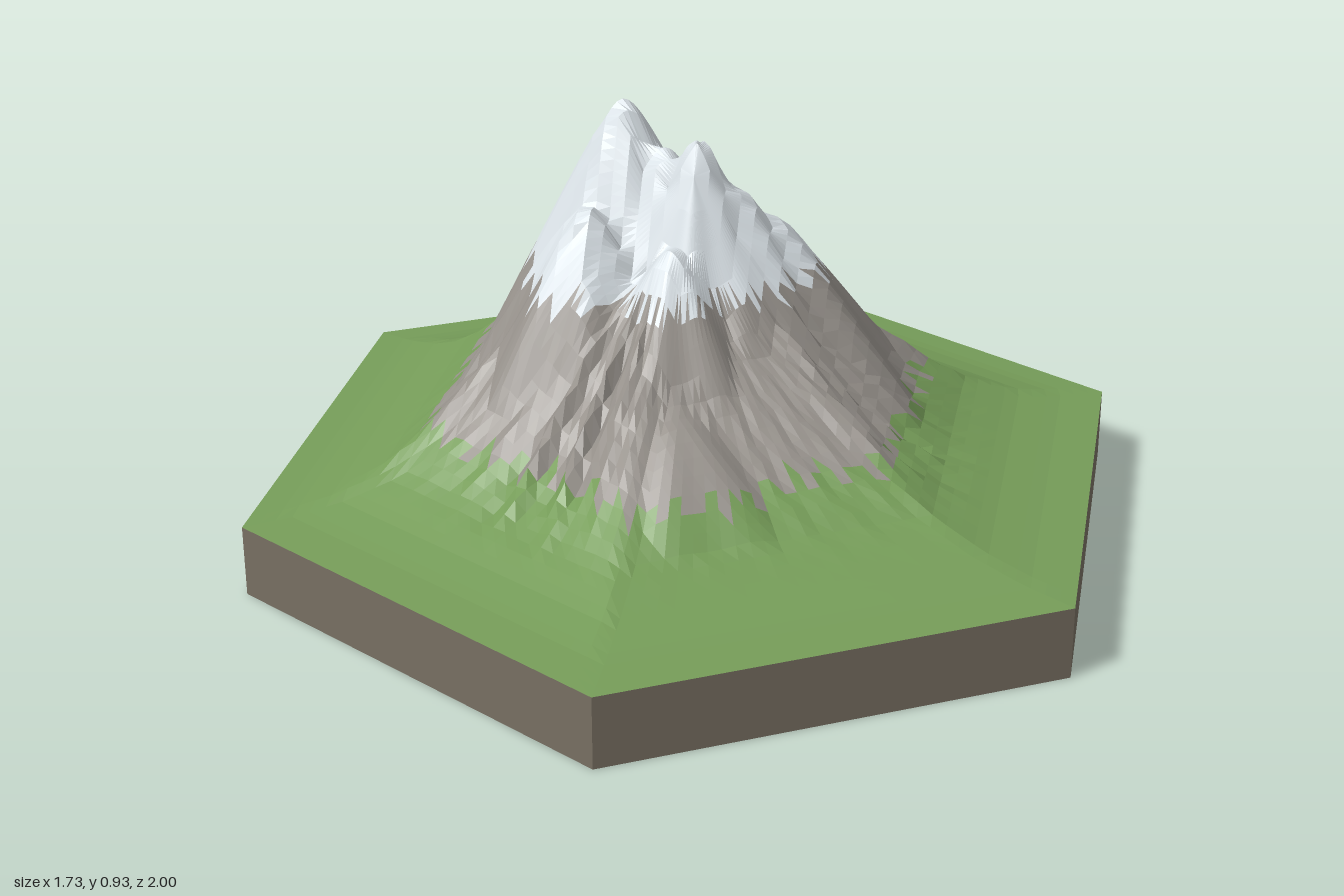
import * as THREE from 'three';

const RINGS = 28, PER_SIDE = 20, SEGS = PER_SIDE * 6, BASE = 0.16;

// Overall slope of the mountain: [hexagonal distance, height]
const PROFILE = [[0, 0.66], [0.15, 0.64], [0.3, 0.55], [0.36, 0.485], [0.42, 0.43], [0.5, 0.36],
  [0.59, 0.285], [0.69, 0.222], [0.8, 0.184], [0.9, 0.166], [1, BASE], [2, BASE]];

// Peaks and shoulders: x, z, height, steepness, roundness
const PEAKS = [
  [-0.18, -0.14, 0.932, 2.15, 0.035],
  [0, -0.05, 0.89, 2.4, 0.025],
  [-0.08, -0.09, 0.845, 2.2, 0.04],
  [0.08, -0.07, 0.775, 1.8, 0.03],
  [0.15, -0.12, 0.695, 1.4, 0.03],
  [-0.23, 0.02, 0.75, 1.75, 0.03],
  [-0.03, 0.08, 0.685, 1.6, 0.03],
  [0.05, -0.36, 0.57, 1.3, 0.06],
  [-0.23, -0.31, 0.555, 1.2, 0.08],
  [0.02, 0.3, 0.405, 0.9, 0.08],
];

// Gullies cut outwards from the summit: angle, width, depth
const GULLIES = [[2.1, 0.25, 0.05], [0.1, 0.25, 0.035], [-0.95, 0.2, 0.06], [3.0, 0.15, 0.02]];

const hexDistance = (x, z) => Math.max(Math.abs(x), Math.abs(x * 0.5 + z * 0.866), Math.abs(x * 0.5 - z * 0.866)) / 0.866;

function profileHeight(d) {
  const i = PROFILE.findIndex(p => p[0] > d);
  const [d0, h0] = PROFILE[i - 1], [d1, h1] = PROFILE[i];
  return h0 + (h1 - h0) * (d - d0) / (d1 - d0);
}

function terrainHeight(x, z) {
  const t = hexDistance(x, z);
  if (t > 0.999) return BASE;
  const k = 1 - t;
  let h = profileHeight(hexDistance(x + 0.1 * k, z + 0.15 * k));
  const angle = Math.atan2(z, x);
  const band = THREE.MathUtils.smoothstep(t, 0.12, 0.35) * (1 - THREE.MathUtils.smoothstep(t, 0.45, 0.75));
  // Fine crags, strongest inside the gullies
  const crag = Math.sin(angle * 31 + t * 17) * 0.6 + Math.sin(angle * 53 - t * 29) * 0.4;
  h += band * crag * 0.004;
  for (const [px, pz, top, steep, round] of PEAKS) {
    const r = Math.hypot(x - px, z - pz);
    const ribs = 1 + 0.06 * Math.sin(7 * Math.atan2(z - pz, x - px) + px * 20);
    h = Math.max(h, top - steep * ribs * (Math.hypot(r, round) - round));
  }
  for (const [a, width, depth] of GULLIES) {
    const da = Math.atan2(Math.sin(angle - a), Math.cos(angle - a)) / width;
    h += Math.exp(-da * da) * band * depth * (crag * 0.55 - 0.5);
  }
  return Math.max(h, BASE);
}

// Point on a concentric hexagonal ring
function ringPoint(ring, seg) {
  const s = seg % SEGS, side = Math.floor(s / PER_SIDE), f = (s % PER_SIDE) / PER_SIDE, t = ring / RINGS;
  const a = side * Math.PI / 3, b = a + Math.PI / 3;
  const x = t * (Math.sin(a) * (1 - f) + Math.sin(b) * f);
  const z = t * (Math.cos(a) * (1 - f) + Math.cos(b) * f);
  return [x, terrainHeight(x, z), z];
}

export function createModel() {
  const group = new THREE.Group();
  group.name = 'mountainTile';
  const colour = (name, color) => Object.assign(new THREE.MeshStandardMaterial({ color, flatShading: true }), { name });
  const earth = colour('earth', 0x787063);
  const add = (name, geometry, material) => {
    const mesh = new THREE.Mesh(geometry, material);
    mesh.name = name;
    group.add(mesh);
  };

  // Hexagonal slab
  add('slabSides', new THREE.CylinderGeometry(1, 1, BASE, 6, 1, true).translate(0, BASE / 2, 0), earth);
  add('slabUnderside', new THREE.CircleGeometry(1, 6, Math.PI / 2).rotateX(Math.PI / 2), earth);

  // Terrain triangles sorted into layers by height, with toothed borders
  const layers = { grass: [], rock: [], snow: [] };
  const triangle = (tooth, a, b, c) => {
    const y = (a[1] + b[1] + c[1]) / 3 + tooth;
    (y < 0.29 ? layers.grass : y < 0.575 ? layers.rock : layers.snow).push(...a, ...b, ...c);
  };
  for (let r = 0; r < RINGS; r++) {
    for (let s = 0; s < SEGS; s++) {
      const a = ringPoint(r, s), b = ringPoint(r + 1, s), c = ringPoint(r + 1, s + 1), d = ringPoint(r, s + 1);
      const tooth = 0.018 * Math.sin(s * 2.3);
      triangle(tooth, a, b, c);
      if (r > 0) triangle(tooth, a, c, d);
    }
  }
  const materials = {
    grass: colour('grass green', 0x769d59),
    rock: colour('rock grey', 0x97928c),
    snow: colour('snow white', 0xdde5ea),
  };
  for (const [name, points] of Object.entries(layers)) {
    const geometry = new THREE.BufferGeometry();
    geometry.setAttribute('position', new THREE.Float32BufferAttribute(points, 3));
    geometry.computeVertexNormals();
    add(name, geometry, materials[name]);
  }
  return group;
}
